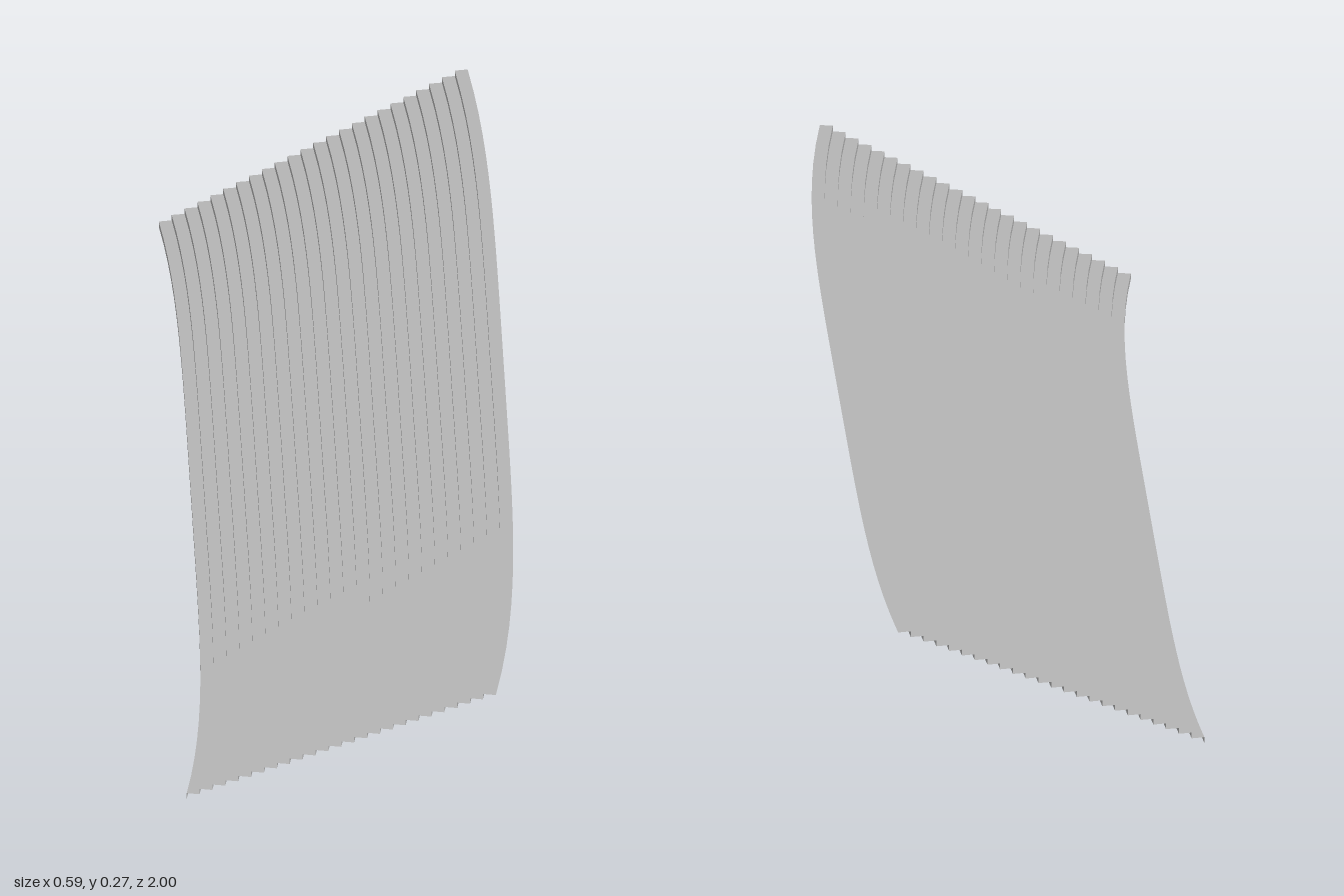
import * as THREE from 'three';

const ROWS = 24;
const DEPTH = 0.548 / ROWS;
const RISE = 0.272 / ROWS;
const SEGMENTS = 32;
const Z_BACK = -0.93, Z_FRONT = 0.895;

// Plan curve of the lowest row: straight in the middle, bending in at both ends.
// Returns the point moved outwards by d along the curve normal, at height y.
function standPoint(t, d, y) {
  const z = Z_BACK + (Z_FRONT - Z_BACK) * t;
  const [sag, power, end] = z < 0 ? [0.025, 4.7, Z_BACK] : [0.042, 4.1, Z_FRONT];
  const u = z / end;
  const x = -0.255 - sag * Math.pow(u, power);
  const slope = -sag * power * Math.pow(u, power - 1) / end;
  const n = new THREE.Vector2(1, -slope).normalize();
  return [x + n.x * d, y, z + n.y * d];
}

// Curved strip between two edges, each given as [outward distance, height]
function strip(a, b) {
  const positions = [], index = [];
  for (let i = 0; i <= SEGMENTS; i++) {
    const t = i / SEGMENTS;
    positions.push(...standPoint(t, ...a), ...standPoint(t, ...b));
    if (i < SEGMENTS) {
      const k = i * 2;
      index.push(k, k + 2, k + 1, k + 1, k + 2, k + 3);
    }
  }
  const geometry = new THREE.BufferGeometry();
  geometry.setAttribute('position', new THREE.Float32BufferAttribute(positions, 3));
  geometry.setIndex(index);
  geometry.computeVertexNormals();
  return geometry;
}

export function createModel() {
  const model = new THREE.Group();
  model.name = 'tieredStand';
  const concrete = new THREE.MeshStandardMaterial({ color: 0xb4b4b4, side: THREE.DoubleSide });
  concrete.name = 'concrete grey';

  // Each row is an open step: a riser and the tread behind it
  for (let i = 0; i < ROWS; i++) {
    const row = new THREE.Group();
    row.name = `row${i + 1}`;
    const d = i * DEPTH, y = i * RISE, top = y + RISE;
    const riser = new THREE.Mesh(strip([d, y], [d, top]), concrete);
    riser.name = 'riser';
    const tread = new THREE.Mesh(strip([d, top], [d + DEPTH, top]), concrete);
    tread.name = 'tread';
    row.add(riser, tread);
    model.add(row);
  }
  return model;
}
